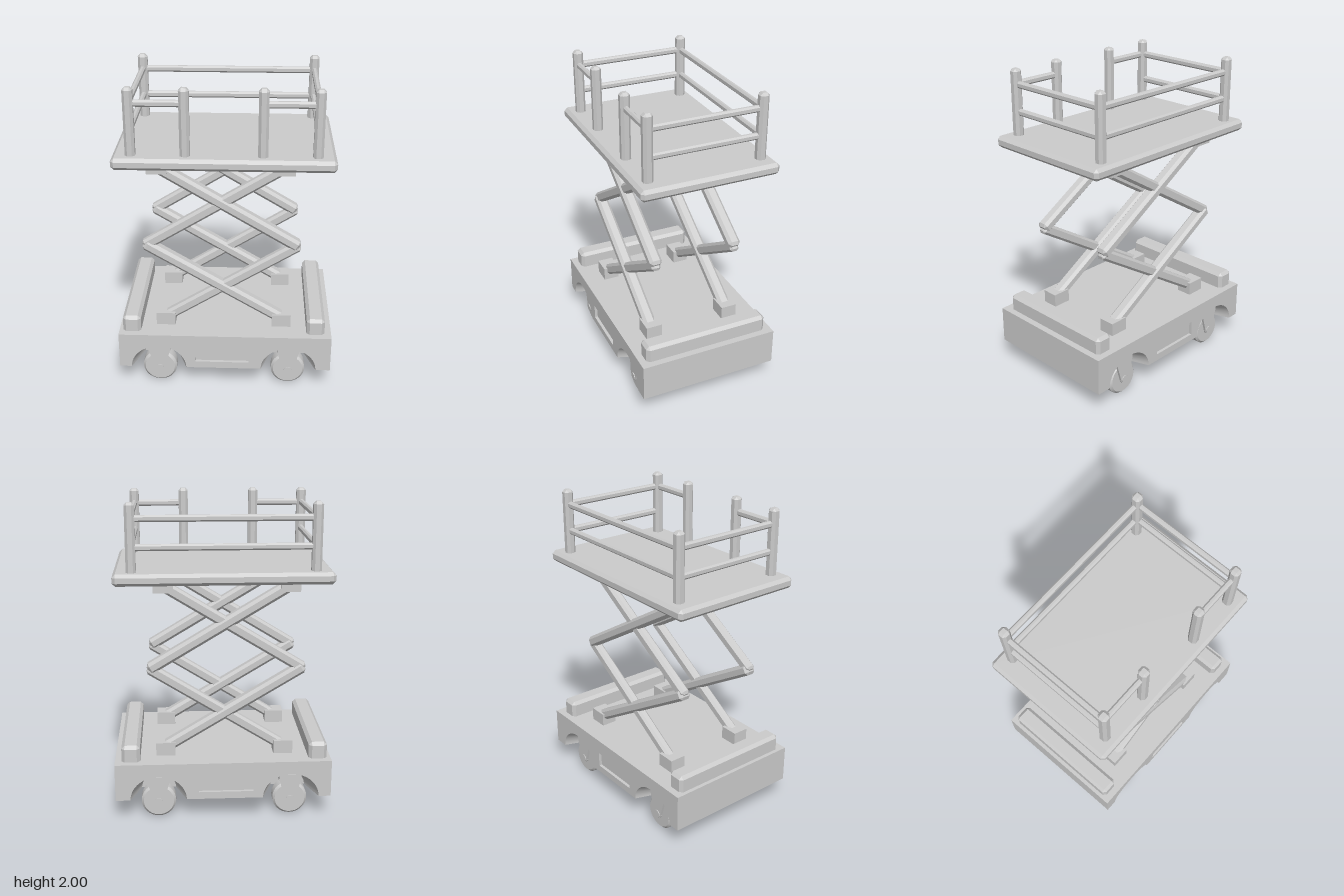
import * as THREE from 'three';
import { toCreasedNormals } from 'three/addons/utils/BufferGeometryUtils.js';
import { ConvexGeometry } from 'three/addons/geometries/ConvexGeometry.js';

const material = new THREE.MeshStandardMaterial({ color: 0xcccccc });
const AXIS_X = -0.006; // the lift sits very slightly off centre

function add(parent, name, geometry, x = 0, y = 0, z = 0) {
  const mesh = new THREE.Mesh(geometry, material);
  mesh.name = name;
  mesh.position.set(x, y, z);
  parent.add(mesh);
  return mesh;
}

// Box with every edge cut at 45 degrees by c
function chamferBox(w, h, d, c) {
  const points = [];
  for (const sx of [-1, 1]) for (const sy of [-1, 1]) for (const sz of [-1, 1]) {
    for (let axis = 0; axis < 3; axis++) {
      const half = [w / 2 - c, h / 2 - c, d / 2 - c];
      half[axis] += c;
      points.push(new THREE.Vector3(sx * half[0], sy * half[1], sz * half[2]));
    }
  }
  return new ConvexGeometry(points);
}

// Chamfered bar whose ends are centred on a and b
function bar(parent, name, a, b, height, depth, chamfer, extra = 0) {
  const from = new THREE.Vector3(...a), to = new THREE.Vector3(...b);
  const dir = to.clone().sub(from);
  const mid = from.clone().add(to).multiplyScalar(0.5);
  const mesh = add(parent, name, chamferBox(dir.length() + extra, height, depth, chamfer), mid.x, mid.y, mid.z);
  mesh.quaternion.setFromUnitVectors(new THREE.Vector3(1, 0, 0), dir.normalize());
  return mesh;
}

// Side of the chassis with arches that narrow inward and a recessed panel opening
function chassisSide(side) {
  const bottom = 0.15, rx = 0.177, ry = 0.157, depth = 0.185;
  const arches = [-0.418, 0.418].map(x => x - side * 0.008);
  const shape = new THREE.Shape().moveTo(-0.68, bottom);
  for (const cx of arches) {
    shape.lineTo(cx - rx, bottom);
    shape.absellipse(cx, bottom, rx, ry, Math.PI, 0, true);
  }
  shape.lineTo(0.68, bottom).lineTo(0.68, 0.39).lineTo(-0.68, 0.39).closePath();
  const px = -0.016 * side;
  shape.holes.push(new THREE.Path().moveTo(px - 0.172, 0.196).lineTo(px - 0.172, 0.293)
    .lineTo(px + 0.172, 0.293).lineTo(px + 0.172, 0.196).closePath());
  const geometry = new THREE.ExtrudeGeometry(shape, { depth, bevelEnabled: false, curveSegments: 20 });
  const p = geometry.attributes.position;
  for (let i = 0; i < p.count; i++) {
    if (p.getZ(i) > 0.01) continue;
    for (const cx of arches) {
      const dx = p.getX(i) - cx, dy = p.getY(i) - bottom;
      if (Math.abs(Math.hypot(dx / rx, dy / ry) - 1) < 0.01) p.setXY(i, cx + dx * 0.62, bottom + dy * 0.62);
    }
  }
  return toCreasedNormals(geometry, 0.6);
}

function makeCaster() {
  const caster = new THREE.Group();
  caster.name = 'caster';
  const r = 0.11, w = 0.045, c = 0.014;
  const profile = [[0, -w], [r - c, -w], [r, c - w], [r, w - c], [r - c, w], [0, w]].map(q => new THREE.Vector2(...q));
  const wheel = toCreasedNormals(new THREE.LatheGeometry(profile, 32), 0.5).rotateX(Math.PI / 2);
  add(caster, 'wheel', wheel, 0, 0.115, 0);
  add(caster, 'axle', new THREE.CylinderGeometry(0.026, 0.026, 0.134, 16).rotateX(Math.PI / 2), 0, 0.115, 0);
  // Fork cheeks taper down to a round end at the axle
  const cheek = new THREE.Shape().moveTo(-0.07, 0.285).lineTo(-0.07, 0.25).lineTo(-0.031, 0.115);
  cheek.absarc(0, 0.115, 0.031, Math.PI, Math.PI * 2, false);
  cheek.lineTo(0.07, 0.25).lineTo(0.07, 0.285).closePath();
  const geometry = new THREE.ExtrudeGeometry(cheek, { depth: 0.016, bevelEnabled: false });
  for (const z of [-0.062, 0.046]) add(caster, 'forkCheek', geometry, 0, 0, z);
  add(caster, 'forkCrown', new THREE.BoxGeometry(0.14, 0.05, 0.1), 0, 0.26, 0);
  return caster;
}

function makeBase() {
  const base = new THREE.Group();
  base.name = 'base';
  add(base, 'chassisCore', new THREE.BoxGeometry(1.36, 0.24, 0.54), 0, 0.27, 0);
  for (const side of [1, -1]) {
    const group = new THREE.Group();
    group.name = side > 0 ? 'frontSide' : 'backSide';
    group.rotation.y = side > 0 ? 0 : Math.PI;
    add(group, 'chassisSide', chassisSide(side), 0, 0, 0.27);
    add(group, 'recessedPanel', new THREE.BoxGeometry(0.344, 0.097, 0.165), -0.016 * side, 0.2445, 0.3525);
    base.add(group);
    for (const x of [-0.418, 0.418]) {
      const caster = makeCaster();
      caster.position.set(x - 0.008, 0, side * 0.352);
      base.add(caster);
    }
    // Raised bumper across each end
    add(base, 'endBumper', chamferBox(0.116, 0.145, 0.822, 0.02), side * 0.589 - 0.009, 0.423, 0);
  }
  return base;
}

function makeScissors() {
  const lift = new THREE.Group();
  lift.name = 'scissorLift';
  for (const z of [-0.264, 0.27]) {
    const wide = [0.072, 0.08, 0.018], narrow = [0.07, 0.06, 0.015];
    bar(lift, 'lowerArm', [-0.486, 0.947, z], [0.37, 0.43, z], ...wide, 0.06);
    bar(lift, 'upperArm', [0.435, 0.97, z], [-0.42, 1.485, z], ...wide, 0.06);
    bar(lift, 'lowerCrossArm', [-0.387, 0.43, z], [0.435, 0.947, z], ...narrow, 0.06);
    bar(lift, 'upperCrossArm', [-0.486, 0.962, z], [0.36, 1.485, z], ...narrow, 0.06);
    const block = new THREE.BoxGeometry(0.122, 0.085, 0.104);
    for (const x of [-0.386, 0.361]) add(lift, 'lowerBracket', block, x, 0.4325, z);
    for (const x of [-0.415, 0.361]) add(lift, 'upperBracket', block, x, 1.49, z);
  }
  return lift;
}

function makePlatform() {
  const platform = new THREE.Group();
  platform.name = 'platform';
  platform.position.x = AXIS_X;
  add(platform, 'deck', chamferBox(1.328, 0.073, 0.876, 0.02), 0, 1.5515, 0.002);
  const px = 0.552, gate = 0.23, pz = 0.358, top = 1.905, middle = 1.735;
  const post = chamferBox(0.06, 0.45, 0.06, 0.016);
  const rail = (a, b) => bar(platform, 'rail', a, b, 0.04, 0.034, 0.01);
  for (const s of [-1, 1]) {
    add(platform, 'cornerPost', post, s * px, 1.775, pz);
    add(platform, 'cornerPost', post, s * px, 1.775, -pz);
    add(platform, 'gatePost', post, s * gate, 1.775, pz);
    rail([s * gate, top, pz], [s * px, top, pz]);
    for (const y of [top, middle]) {
      const side = add(platform, 'sideRail', chamferBox(0.034, 0.04, pz * 2, 0.01), s * px, y, 0);
      side.name = s > 0 ? 'leftRail' : 'rightRail';
    }
  }
  for (const y of [top, middle]) rail([-px, y, -pz], [px, y, -pz]);
  return platform;
}

export function createModel() {
  const model = new THREE.Group();
  model.name = 'scissorLiftPlatform';
  model.add(makeBase(), makeScissors(), makePlatform());
  return model;
}
